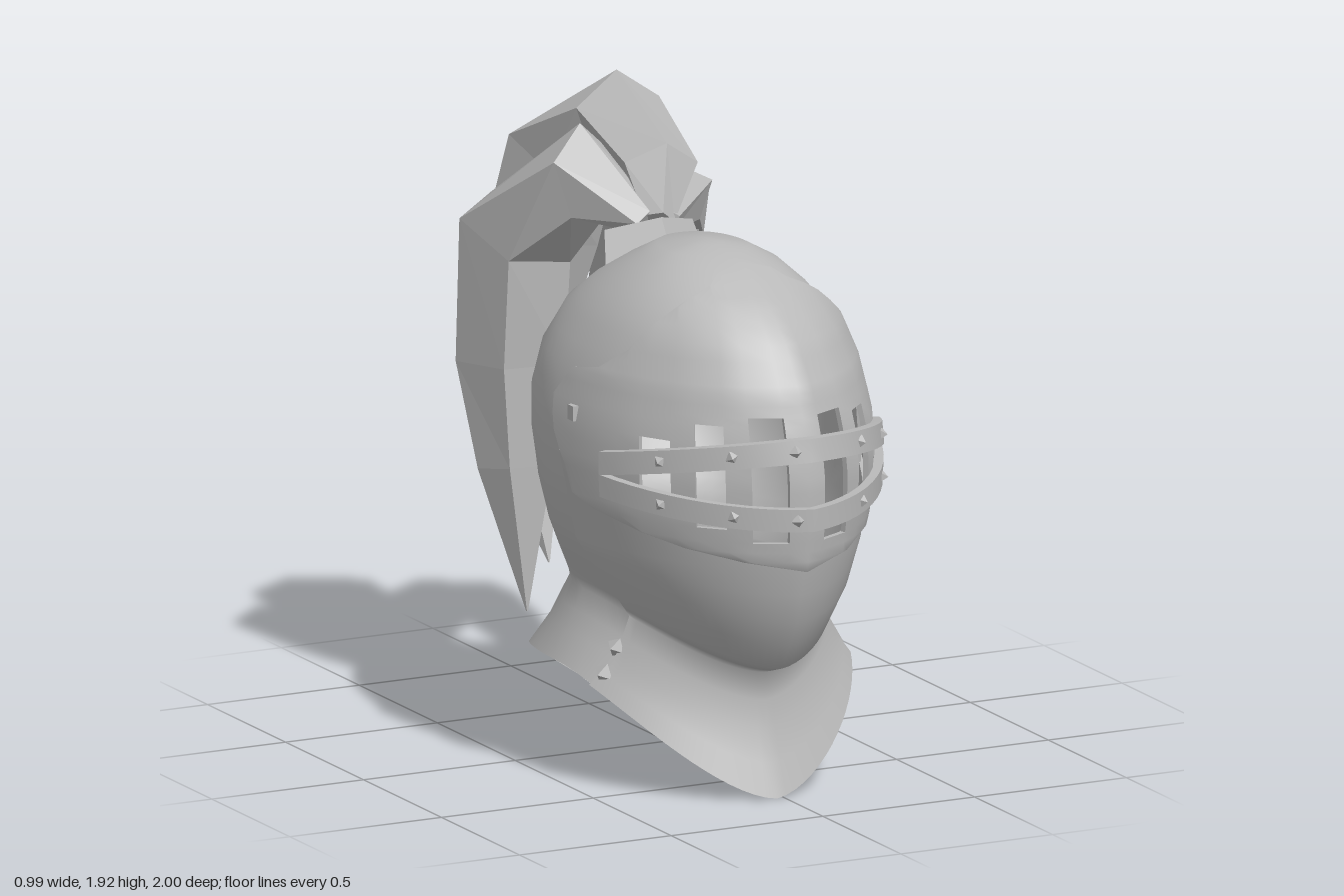
import * as THREE from 'three';
import { mergeGeometries, mergeVertices } from 'three/addons/utils/BufferGeometryUtils.js';

const CX = -0.023;
const { lerp, clamp } = THREE.MathUtils;
// Helmet rings: [y at side, y at front, y at back, front z, back z, half width]
const RINGS = [
  [1.595, 1.595, 1.595, 0.3, 0.3, 0], [1.57, 1.57, 1.57, 0.43, 0.12, 0.13],
  [1.52, 1.52, 1.52, 0.55, 0.03, 0.22], [1.45, 1.45, 1.45, 0.68, -0.09, 0.3],
  [1.37, 1.37, 1.37, 0.78, -0.2, 0.36], [1.25, 1.25, 1.25, 0.865, -0.26, 0.42],
  [1.12, 1.12, 1.12, 0.915, -0.295, 0.45], [1.0, 1.0, 1.0, 0.935, -0.27, 0.457],
  [0.87, 0.87, 0.87, 0.935, -0.21, 0.45], [0.74, 0.74, 0.76, 0.92, -0.15, 0.425],
  [0.66, 0.56, 0.69, 0.87, -0.13, 0.395], [0.58, 0.4, 0.62, 0.77, -0.13, 0.36],
  [0.55, 0.365, 0.57, 0.66, -0.135, 0.352], [0.43, 0.2, 0.39, 0.675, -0.22, 0.405],
  [0.35, 0, 0.23, 0.74, -0.32, 0.452],
];
// Rear edge of the visor and of the lower face plate: [y, z]
const VISOR_EDGE = [[1.545, 0.49], [1.5, 0.54], [1.45, 0.54], [1.33, 0.48], [1.27, 0.4], [1.25, 0.29],
  [1.165, 0.225], [1.06, 0.25], [0.97, 0.31], [0.88, 0.345], [0.735, 0.95]];
const BEVOR_EDGE = [[0.8, 0.26], [0.64, 0.36], [0.57, 0.41], [0.43, 0.41], [0.35, 0.38]];

// Linear lookup in a table sorted by falling first value
function lookup(table, v) {
  let i = 0;
  while (i < table.length - 2 && v < table[i + 1][0]) i++;
  const a = table[i], b = table[i + 1];
  const t = clamp((a[0] - v) / (a[0] - b[0]), 0, 1);
  return a.map((p, k) => p + (b[k] - p) * t);
}
// Slightly keeled front, round back
const bow = c => (c > 0 ? 0.8 * c + 0.2 * (1 - Math.acos(Math.min(1, c)) / (Math.PI / 2)) : c);

// Point on the helmet at height v, angle th (0 = front), pushed outward by off
function surf(v, th, off = 0) {
  const [yS, yF, yB, zf, zb, w] = lookup(RINGS, v), c = Math.cos(th), s = Math.sin(th);
  const y = c > 0 ? yS + (yF - yS) * (1 - Math.abs(s) ** 1.6) : yS + (yB - yS) * Math.abs(c) ** 3;
  const zc = lerp(0.19, 0.3, clamp((v - 1.25) / 0.3, 0, 1));
  const reach = c > 0 ? zf - zc + off : zc - zb + off;
  const side = c > 0 ? s : Math.sign(s) * Math.abs(s) ** 0.88;
  const lift = off * clamp((v - 1.2) / 0.35, 0, 1);
  return new THREE.Vector3(CX + (w + off) * side, y + lift, zc + reach * bow(c));
}
// Angle at which the ring at height v reaches depth z
function angleAt(v, z) {
  let lo = 0, hi = Math.PI;
  for (let k = 0; k < 30; k++) {
    const m = (lo + hi) / 2;
    if (surf(v, m).z > z) lo = m; else hi = m;
  }
  return lo < 1e-4 ? 0 : lo;
}

function toGeometry(points, index) {
  const g = new THREE.BufferGeometry().setFromPoints(points);
  g.setIndex(index);
  return g;
}
// Curved sheet with thickness; point(i, j, layer) with layer 1 outside, 0 inside
function shell(rows, cols, point, keep = () => true) {
  const layers = [1, 0].map(layer => {
    const pts = [], idx = [];
    for (let i = 0; i < rows; i++) for (let j = 0; j < cols; j++) pts.push(point(i, j, layer));
    for (let i = 0; i < rows - 1; i++) for (let j = 0; j < cols - 1; j++) {
      if (!keep(i, j)) continue;
      const a = i * cols + j, b = a + cols;
      if (layer) idx.push(a, b, b + 1, a, b + 1, a + 1);
      else idx.push(a, b + 1, b, a, a + 1, b + 1);
    }
    return { pts, idx };
  });
  const wall = [], has = (i, j) => i >= 0 && j >= 0 && i < rows - 1 && j < cols - 1 && keep(i, j);
  const [out, inn] = layers.map(l => l.pts);
  const rim = (a, b) => wall.push(out[a], inn[a], inn[b], out[a], inn[b], out[b]);
  for (let i = 0; i < rows - 1; i++) for (let j = 0; j < cols - 1; j++) {
    if (!keep(i, j)) continue;
    const a = i * cols + j, b = a + cols;
    if (!has(i, j - 1)) rim(a, b);
    if (!has(i + 1, j)) rim(b, b + 1);
    if (!has(i, j + 1)) rim(b + 1, a + 1);
    if (!has(i - 1, j)) rim(a + 1, a);
  }
  const parts = layers.map(l => {
    const g = mergeVertices(toGeometry(l.pts, l.idx), 1e-5);
    g.computeVertexNormals();
    return g.toNonIndexed();
  });
  const walls = new THREE.BufferGeometry().setFromPoints(wall);
  walls.computeVertexNormals();
  return mergeGeometries([...parts, walls]);
}
// Faceted tapering feather: stations are [x, y, z, half width, half thickness]
function feather(stations) {
  const S = 5, centre = stations.map(s => new THREE.Vector3(s[0], s[1], s[2]));
  const pts = [], idx = [];
  stations.forEach((s, i) => {
    const T = centre[Math.min(i + 1, centre.length - 1)].clone().sub(centre[Math.max(i - 1, 0)]).normalize();
    const L = new THREE.Vector3(1, 0, 0).addScaledVector(T, -T.x).normalize();
    const N = L.clone().cross(T);
    for (let k = 0; k < S; k++) {
      const a = Math.PI / 2 + (k / S) * Math.PI * 2;
      pts.push(centre[i].clone().addScaledVector(L, s[3] * Math.cos(a)).addScaledVector(N, s[4] * Math.sin(a)));
      if (i === 0) continue;
      const p = (i - 1) * S + k, q = (i - 1) * S + (k + 1) % S;
      idx.push(p, p + S, q + S, p, q + S, q);
    }
  });
  for (let k = 1; k < S - 1; k++) idx.push(0, k, k + 1);
  const g = toGeometry(pts, idx).toNonIndexed();
  g.computeVertexNormals();
  return g;
}

export function createModel() {
  const group = new THREE.Group();
  const steel = new THREE.MeshStandardMaterial({ color: 0xb8b8b8, side: THREE.DoubleSide });
  steel.name = 'steel grey';
  const add = (name, geometry) => {
    const m = new THREE.Mesh(geometry, steel);
    m.name = name;
    group.add(m);
    return m;
  };
  // Plate whose columns are cut off where angle(i, j) stops changing
  const cutPlate = (rows, cols, angle, outer, inner, solid = () => true) =>
    shell(rows.length, cols, (i, j, layer) => surf(rows[i], angle(i, j), layer ? outer : inner), (i, j) =>
      (angle(i, j) !== angle(i, j + 1) || angle(i + 1, j) !== angle(i + 1, j + 1)) && solid(i, j));

  // Skull with neck and back collar, open behind the visor
  const skullRows = [1.595, 1.585, 1.57, 1.545, 1.52, 1.485, 1.45, 1.41, 1.37, 1.31, 1.25, 1.18, 1.12, 1.06, 1,
    0.93, 0.87, 0.8, 0.74, 0.7, 0.66, 0.62, 0.58, 0.55, 0.49, 0.43, 0.35];
  const skullStart = skullRows.map(v => (v > 1.3 ? 0 : angleAt(v, 0.5)));
  add('skull', cutPlate(skullRows, 49,
    (i, j) => clamp((j / 48) * Math.PI * 2, skullStart[i], 2 * Math.PI - skullStart[i]), 0, -0.012));

  // Lower face plate with front collar, rising at the sides under the visor
  const bevorRows = [1, 0.74, 0.7, 0.66, 0.62, 0.58, 0.565, 0.55, 0.49, 0.43, 0.39, 0.35];
  const bevorEnd = bevorRows.map(v => angleAt(v, lookup(BEVOR_EDGE, v)[1]));
  add('bevor', shell(bevorRows.length, 33, (i, j, layer) => {
    const t = j / 16 - 1, v = i ? bevorRows[i] : 0.8 + 0.2 * t * t;
    return surf(v, bevorEnd[i] * t, layer ? 0.012 : -0.005);
  }));

  // Closed hollow under the collar
  const hollow = [new THREE.Vector3(CX, 0.38, 0.24)], fan = [];
  for (let k = 0; k < 24; k++) {
    hollow.push(surf(0.35, (k / 24) * Math.PI * 2));
    fan.push(0, 1 + (k + 1) % 24, 1 + k);
  }
  const hollowGeo = toGeometry(hollow, fan).toNonIndexed();
  hollowGeo.computeVertexNormals();
  add('collarHollow', hollowGeo);

  // Visor with upright slots
  const visorRows = [1.545, 1.525, 1.5, 1.475, 1.45, 1.41, 1.37, 1.33, 1.3, 1.27, 1.25, 1.22, 1.19, 1.165, 1.11,
    1.06, 1.01, 0.97, 0.93, 0.89, 0.86, 0.82, 0.79, 0.76, 0.735];
  const half = [0.12, 0.33, 0.47, 0.63, 0.76, 0.93, 1.06, 1.2, 1.35, 1.5, 1.6];
  const cols = [...half.map(a => -a).reverse(), 0, ...half];
  const visorEnd = visorRows.map(v => angleAt(v, lookup(VISOR_EDGE, v)[1]));
  const slots = [[0.12, 0.33, 1.19, 0.82], [0.47, 0.63, 1.165, 0.86], [0.76, 0.93, 1.11, 0.89]];
  add('visor', cutPlate(visorRows, cols.length, (i, j) => clamp(cols[j], -visorEnd[i], visorEnd[i]), 0.028, 0.01,
    (i, j) => {
      const mid = Math.abs(cols[j] + cols[j + 1]) / 2, y = (visorRows[i] + visorRows[i + 1]) / 2;
      return !slots.some(s => mid > s[0] && mid < s[1] && y < s[2] && y > s[3]);
    }));

  // Small pyramid studs standing on the surface
  const stud = (name, v, th, off, r, h) => {
    const m = add(name, new THREE.ConeGeometry(r, h, 4).toNonIndexed());
    m.geometry.computeVertexNormals();
    const n = surf(v, th, off + 0.1).sub(surf(v, th, off)).normalize();
    m.position.copy(surf(v, th, off)).addScaledVector(n, h * 0.35);
    m.quaternion.setFromUnitVectors(new THREE.Vector3(0, 1, 0), n);
  };

  // Two bars across the slots, meeting at the sides
  const END = angleAt(0.98, 0.485);
  for (const [name, mid, end] of [['upperBar', 1.102, 1.012], ['lowerBar', 0.895, 0.945]]) {
    const height = th => lerp(mid, end, (1 - bow(Math.cos(th))) / (1 - bow(Math.cos(END))));
    add(name, shell(2, 25, (i, j, layer) => {
      const th = END * (j / 12 - 1);
      return surf(height(th) + (i ? -0.034 : 0.034), th, layer ? 0.056 : 0.026);
    }));
    for (const th of [-0.8, -0.43, -0.09, 0.43, 0.8]) stud('barStud', height(th), th, 0.056, 0.022, 0.022);
  }

  // Visor pivots and the pair of collar studs
  for (const s of [-1, 1]) {
    const pivot = add('visorPivot', new THREE.BoxGeometry(0.022, 0.045, 0.035));
    pivot.position.copy(surf(1.13, s * angleAt(1.13, 0.34), 0.026));
  }
  stud('collarStud', 0.39, -1.12, 0.012, 0.035, 0.03);
  stud('collarStud', 0.46, -1.08, 0.012, 0.032, 0.03);

  // Plume holder
  const holder = add('plumeHolder', new THREE.CylinderGeometry(0.145, 0.165, 0.11, 4).toNonIndexed());
  holder.geometry.computeVertexNormals();
  holder.scale.z = 0.65;
  holder.position.set(CX, 1.5, -0.05);
  holder.rotation.x = -0.45;

  // Drooping plumes
  add('rightPlume', feather([[-0.03, 1.56, -0.07, 0.05, 0.04], [-0.13, 1.67, -0.27, 0.14, 0.15],
    [-0.22, 1.45, -0.53, 0.18, 0.19], [-0.23, 1.06, -0.54, 0.17, 0.17],
    [-0.24, 0.75, -0.49, 0.12, 0.11], [-0.25, 0.33, -0.41, 0.003, 0.003]]));
  add('middlePlume', feather([[0, 1.56, -0.06, 0.05, 0.05], [0.06, 1.68, -0.17, 0.12, 0.11],
    [0.07, 1.78, -0.45, 0.15, 0.14], [0.02, 1.65, -0.67, 0.2, 0.14], [-0.01, 1.38, -0.74, 0.2, 0.12],
    [-0.05, 1.08, -0.84, 0.17, 0.14], [-0.07, 0.78, -0.77, 0.13, 0.12], [-0.09, 0.42, -0.58, 0.003, 0.003]]));
  add('leftPlume', feather([[0.02, 1.56, -0.06, 0.05, 0.04], [0.2, 1.55, -0.36, 0.13, 0.1],
    [0.31, 1.44, -0.64, 0.17, 0.14], [0.33, 1.28, -0.77, 0.17, 0.14], [0.34, 1.05, -0.86, 0.15, 0.14],
    [0.3, 0.85, -0.82, 0.12, 0.12], [0.19, 0.57, -0.6, 0.07, 0.06], [0.11, 0.13, -0.53, 0.003, 0.003]]));
  add('leftPlumeStrand', feather([[0.29, 1.42, -0.55, 0.1, 0.1], [0.32, 1.12, -0.62, 0.08, 0.1],
    [0.31, 0.9, -0.61, 0.05, 0.07], [0.29, 0.6, -0.6, 0.003, 0.003]]));
  return group;
}
